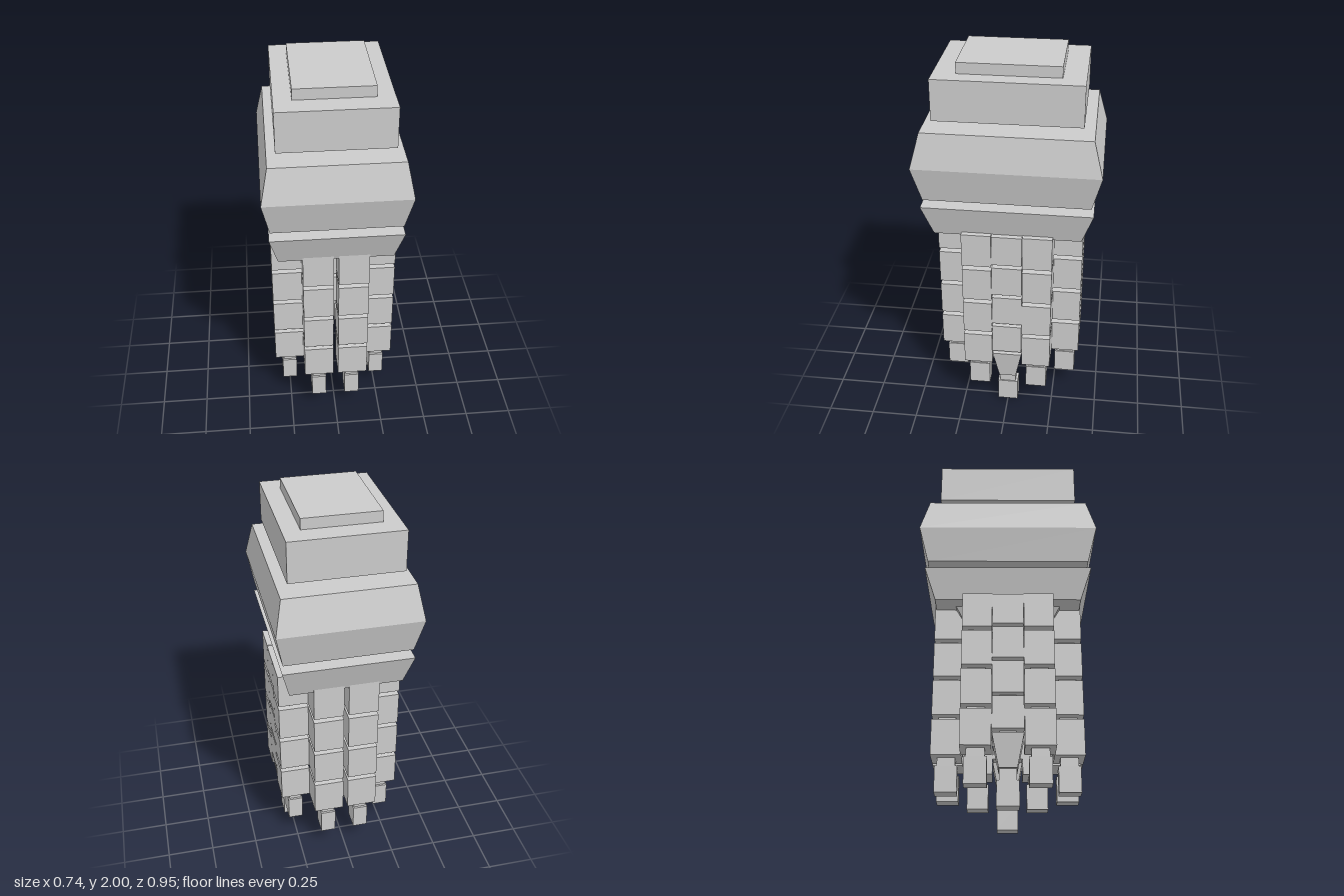
import * as THREE from 'three';

const material = new THREE.MeshStandardMaterial({ color: 0xcccccc, flatShading: true });

// Rectangular stack through levels [y, half width x, half depth z], from bottom to top.
function block(name, levels) {
  const rows = levels.length - 1;
  const geometry = new THREE.BoxGeometry(2, 1, 2, 1, rows, 1);
  const p = geometry.attributes.position;
  for (let i = 0; i < p.count; i++) {
    const [y, hx, hz] = levels[Math.round((p.getY(i) + 0.5) * rows)];
    p.setXYZ(i, p.getX(i) * hx, y, p.getZ(i) * hz);
  }
  const flat = geometry.toNonIndexed();
  flat.computeVertexNormals();
  const mesh = new THREE.Mesh(flat, material);
  mesh.name = name;
  return mesh;
}

const box = (name, y0, y1, hx, hz) => block(name, [[y0, hx, hz], [y1, hx, hz]]);

// Short arm: four cubes on a thin core, ending in a small tip.
function makeArm() {
  const arm = new THREE.Group();
  arm.name = 'arm';
  arm.add(box('armCore', 0.2, 1.08, 0.034, 0.046));
  for (let i = 0; i < 4; i++) {
    const top = 1.118 - i * 0.213;
    arm.add(box('armSegment', top - 0.189, top, 0.08, 0.078));
  }
  arm.add(box('armTip', 0.11, 0.245, 0.04, 0.057));
  return arm;
}

// Long arm: closer segments, a tapered end segment and a low tip.
function makeTentacle() {
  const tentacle = new THREE.Group();
  tentacle.name = 'tentacle';
  tentacle.add(box('tentacleCore', 0.1, 1.08, 0.034, 0.043));
  for (let i = 0; i < 4; i++) {
    const top = 1.115 - i * 0.19;
    tentacle.add(box('tentacleSegment', top - 0.17, top, 0.08, 0.08));
  }
  tentacle.add(block('tentacleTaper', [[0.185, 0.056, 0.046], [0.355, 0.08, 0.08]]));
  tentacle.add(box('tentacleTip', 0, 0.128, 0.04, 0.056));
  return tentacle;
}

export function createModel() {
  const model = new THREE.Group();
  model.name = 'squid';

  // Stacked body
  model.add(
    box('crown', 1.93, 2, 0.2, 0.259),
    box('head', 1.73, 1.943, 0.29, 0.374),
    box('bodyCore', 1.2, 1.8, 0.168, 0.22),
    block('belly', [[1.312, 0.333, 0.428], [1.5, 0.37, 0.476], [1.683, 0.333, 0.428]]),
    block('skirt', [[1.1, 0.298, 0.384], [1.27, 0.34, 0.442]]),
    block('skirtBase', [[1.05, 0.197, 0.247], [1.105, 0.22, 0.28]])
  );

  // Eight arms around the rim and a tentacle on each side
  for (const sx of [-1, 1]) {
    for (const sz of [-1, 1]) {
      for (const [x, z] of [[0.093, 0.312], [0.252, 0.16]]) {
        const arm = makeArm();
        arm.position.set(sx * x, 0, sz * z);
        model.add(arm);
      }
    }
    const tentacle = makeTentacle();
    tentacle.position.x = sx * 0.252;
    model.add(tentacle);
  }
  return model;
}
